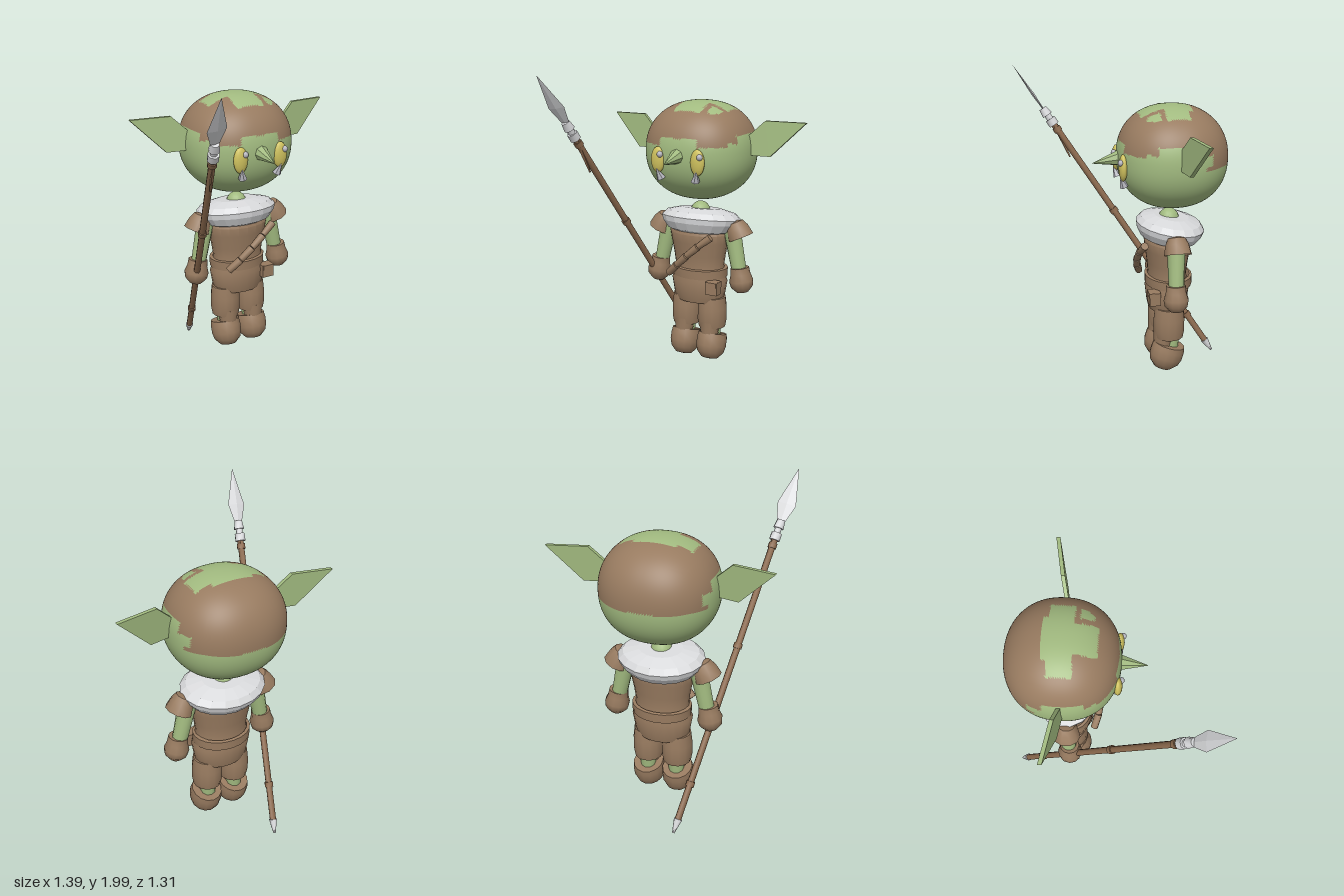
import * as THREE from 'three';
import { mergeVertices, toCreasedNormals } from 'three/addons/utils/BufferGeometryUtils.js';

const material = (name, color, side = THREE.FrontSide) => {
  const m = new THREE.MeshStandardMaterial({ color, side });
  m.name = name;
  return m;
};
const V = (x, y, z) => new THREE.Vector3(x, y, z);
const UP = V(0, 1, 0);

export function createModel() {
  const skin = material('green skin', 0xa2bb80);
  const leather = material('brown leather', 0x987b60, THREE.DoubleSide);
  const wood = material('spear wood', 0x8c6a4e);
  const fur = material('white fur', 0xd9dadc);
  const metal = material('grey metal', 0xb9b9c2);
  const yellow = material('yellow eye', 0xd0c25e);
  const root = new THREE.Group();
  root.name = 'goblinWarrior';

  const add = (name, geo, mat, pos = [0, 0, 0], parent = root) => {
    const mesh = new THREE.Mesh(geo, mat);
    mesh.name = name;
    mesh.position.set(...pos);
    parent.add(mesh);
    return mesh;
  };
  const ball = (name, mat, pos, size, w = 16, h = 12) => {
    const m = add(name, new THREE.SphereGeometry(1, w, h), mat, pos);
    m.scale.set(...size);
    return m;
  };
  // Tapered rod from point a to point b
  const rod = (name, mat, a, b, ra, rb, sides = 12) => {
    const dir = b.clone().sub(a);
    const geo = toCreasedNormals(new THREE.CylinderGeometry(rb, ra, dir.length(), sides), 0.9);
    const m = add(name, geo, mat, a.clone().add(b).multiplyScalar(0.5).toArray());
    m.quaternion.setFromUnitVectors(UP, dir.normalize());
    return m;
  };
  const lathe = (pts, sides = 20) => toCreasedNormals(
    new THREE.LatheGeometry(pts.map(p => new THREE.Vector2(...p)), sides), 0.8);

  // Head: rounded cube, with ragged hair marked out on the upper faces
  const headCentre = V(0, 1.488, -0.286);
  const isHair = (x, y, z) => {
    const ax = Math.abs(x);
    let edge;
    if (z > -0.1) edge = ax < 0.13 ? 1.595 : ax < 0.29 ? 1.545 : 1.57;
    else if (z > -0.14) edge = 1.56;
    else if (z > -0.38) edge = 1.61;
    else if (z > -0.43) edge = 1.55;
    else edge = 1.465;
    if (y < edge) return false;
    if (y < 1.555 && z < -0.4 && z > -0.47 && y > 1.49) return false;
    if (y > 1.65) {
      if (ax < 0.22 && z > -0.355 && z < -0.21) return false;
      if (ax < 0.13 && z > -0.39 && z < -0.3) return false;
      if (ax < 0.095 && z > -0.3 && z < -0.075) return false;
      if (x > 0.13 && x < 0.2 && z > -0.18 && z < -0.1 && x + z < 0.06) return false;
    }
    return true;
  };
  let head = new THREE.BoxGeometry(2, 2, 2, 36, 36, 36);
  head.deleteAttribute('normal');
  head.deleteAttribute('uv');
  head = mergeVertices(head);
  const hp = head.attributes.position;
  const bend = t => Math.tan(t * Math.PI / 4);
  for (let i = 0; i < hp.count; i++) {
    const v = V(bend(hp.getX(i)), bend(hp.getY(i)), bend(hp.getZ(i)));
    const n = 2.2;
    v.multiplyScalar((Math.abs(v.x) ** n + Math.abs(v.y) ** n + Math.abs(v.z) ** n) ** (-1 / n));
    v.multiply(V(0.36, 0.322, 0.346)).add(headCentre);
    hp.setXYZ(i, v.x, v.y, v.z);
  }
  head.computeVertexNormals();
  const faces = [[], []];
  const src = head.index.array;
  for (let i = 0; i < src.length; i += 3) {
    const t = [src[i], src[i + 1], src[i + 2]];
    const mid = k => t.reduce((s, j) => s + hp.getComponent(j, k), 0) / 3;
    faces[isHair(mid(0), mid(1), mid(2)) ? 1 : 0].push(...t);
  }
  head.setIndex([...faces[0], ...faces[1]]);
  head.clearGroups();
  head.addGroup(0, faces[0].length, 0);
  head.addGroup(faces[0].length, faces[1].length, 1);
  add('head', head, [skin, leather]);

  // Nose
  const nose = rod('nose', skin, V(0, 1.487, 0.035), V(0, 1.455, 0.218), 0.053, 0.001, 8);
  nose.geometry = new THREE.ConeGeometry(0.053, 0.186, 8).toNonIndexed();
  nose.geometry.computeVertexNormals();

  // Eyes with pupils and hanging studs
  for (const s of [-1, 1]) {
    const x = s * 0.14;
    ball('eye', yellow, [x, 1.455, 0.043], [0.048, 0.083, 0.027]);
    ball('pupil', metal, [x + 0.024, 1.492, 0.062], [0.02, 0.02, 0.018], 10, 8);
    rod('eyeStud', metal, V(x, 1.4, 0.06), V(x - s * 0.018, 1.335, 0.035), 0.004, 0.029, 6);
  }

  // Ears: thin slabs swept backwards
  const earOutline = [[0.3, 1.55], [0.33, 1.475], [0.48, 1.472], [0.695, 1.69], [0.44, 1.695], [0.34, 1.6]];
  for (const s of [-1, 1]) {
    const shape = new THREE.Shape(earOutline.map(([x, y]) => new THREE.Vector2(s * x, y)));
    const geo = new THREE.ExtrudeGeometry(shape, { depth: 0.024, bevelEnabled: false });
    const p = geo.attributes.position;
    for (let i = 0; i < p.count; i++) {
      p.setZ(i, p.getZ(i) - 0.295 - 0.18 * (Math.abs(p.getX(i)) - 0.35) - 0.06 * (p.getY(i) - 1.58));
    }
    geo.computeVertexNormals();
    add(s > 0 ? 'leftEar' : 'rightEar', geo, skin);
  }

  // Neck and fur collar
  ball('neck', skin, [0, 1.07, -0.275], [0.068, 0.075, 0.068]);
  const collar = add('furCollar', lathe([[0.001, -0.085], [0.15, -0.085], [0.225, -0.06], [0.265, -0.01],
    [0.275, 0.025], [0.24, 0.06], [0.14, 0.085], [0.001, 0.085]], 18), fur, [0, 1.012, -0.28]);
  collar.geometry.computeVertexNormals();
  collar.scale.z = 0.8;
  collar.rotation.x = -0.13;

  // Tunic, belt and pouch
  const tunic = add('tunic', lathe([[0.001, 0.47], [0.165, 0.47], [0.18, 0.51], [0.197, 0.61], [0.18, 0.66],
    [0.172, 0.72], [0.182, 0.79], [0.2, 0.88], [0.21, 0.94], [0.17, 1.0], [0.001, 1.02]]), leather, [0, 0, -0.268]);
  tunic.scale.z = 0.72;
  const belt = add('belt', lathe([[0.17, 0.635], [0.19, 0.64], [0.192, 0.7], [0.17, 0.705]]), leather, [0, 0, -0.277]);
  belt.scale.z = 0.8;
  add('beltPouch', new THREE.BoxGeometry(0.085, 0.085, 0.07), leather, [0.158, 0.597, -0.155]);
  add('pouchFlap', new THREE.BoxGeometry(0.075, 0.03, 0.075), leather, [0.158, 0.625, -0.153]);

  // Segmented bandolier roll across the chest
  const roll = new THREE.CatmullRomCurve3([V(-0.15, 0.67, -0.11), V(-0.05, 0.765, -0.078),
    V(0.06, 0.865, -0.07), V(0.17, 0.955, -0.09)]);
  for (let i = 0; i < 4; i++) {
    rod('bandolierRoll', leather, roll.getPointAt(i / 4), roll.getPointAt((i + 0.97) / 4),
      0.024 - 0.001 * i, 0.026, 8);
  }

  // Arms, shoulder caps, gloves, legs and boots
  for (const s of [-1, 1]) {
    const shoulder = V(s * 0.235, 0.97, -0.272), wrist = V(s * 0.297, 0.68, -0.268);
    rod('arm', skin, shoulder, wrist, 0.057, 0.048, 12);
    const cap = add('shoulderCap', lathe([[0.088, -0.115], [0.075, -0.05], [0.055, -0.01], [0.001, 0.005]], 10),
      leather, [s * 0.25, 1.035, -0.272]);
    cap.rotation.z = s * 0.42;
    const glove = add('glove', lathe([[0.001, -0.085], [0.04, -0.08], [0.073, -0.045], [0.08, -0.005],
      [0.066, 0.04], [0.062, 0.085], [0.001, 0.08]], 12), leather, [s * 0.31, 0.645, -0.263]);
    glove.rotation.z = s * 0.15;

    const leg = add('trouserLeg', lathe([[0.001, 0.285], [0.09, 0.29], [0.099, 0.34], [0.099, 0.42],
      [0.09, 0.5], [0.001, 0.52]], 14), leather, [s * 0.097, 0, -0.268]);
    leg.scale.z = 1.04;
    rod('ankle', skin, V(s * 0.097, 0.13, -0.275), V(s * 0.097, 0.32, -0.292), 0.05, 0.05, 10);
    rod('shin', leather, V(s * 0.097, 0.2, -0.225), V(s * 0.097, 0.33, -0.235), 0.055, 0.07, 12);
    const boot = add('boot', lathe([[0.001, -0.095], [0.055, -0.085], [0.09, -0.045], [0.102, 0],
      [0.102, 0.05], [0.096, 0.085], [0.001, 0.08]], 14), leather, [s * 0.1, 0.153, -0.25]);
    boot.scale.z = 1.1;
    boot.rotation.x = -0.28;
  }

  // Spear: all pieces placed by height along one slanted line
  const at = y => V(-0.205 - 0.192 * (y - 0.01), y, -0.645 + 0.657 * (y - 0.01));
  rod('spearShaft', wood, at(0.06), at(1.64), 0.021, 0.021, 8);
  rod('spearButt', fur, at(0.005), at(0.08), 0.008, 0.027, 8);
  for (const y of [0.27, 1.02, 1.57]) rod('spearRing', wood, at(y - 0.014), at(y + 0.014), 0.028, 0.028, 8);
  rod('spearSocket', fur, at(1.6), at(1.64), 0.034, 0.034, 8);
  rod('spearNeck', fur, at(1.64), at(1.665), 0.022, 0.022, 8);
  rod('spearCollar', fur, at(1.665), at(1.71), 0.034, 0.026, 8);
  const spearDir = at(1).sub(at(0)).normalize();
  const bladeParts = [[1.69, 1.8, 0.022, 0.06], [1.8, 1.995, 0.06, 0.001]];
  for (const [y0, y1, r0, r1] of bladeParts) {
    const length = at(y0).distanceTo(at(y1));
    const geo = new THREE.CylinderGeometry(r1, r0, length, 4).toNonIndexed();
    geo.scale(1, 1, 0.16);
    geo.computeVertexNormals();
    const blade = add('spearBlade', geo, fur, at((y0 + y1) / 2).toArray());
    blade.quaternion.setFromUnitVectors(UP, spearDir);
  }
  // Loose binding hanging below the spearhead
  rod('spearBinding', wood, V(-0.505, 1.6, 0.395), V(-0.478, 1.385, 0.303), 0.018, 0.006, 4);

  return root;
}
